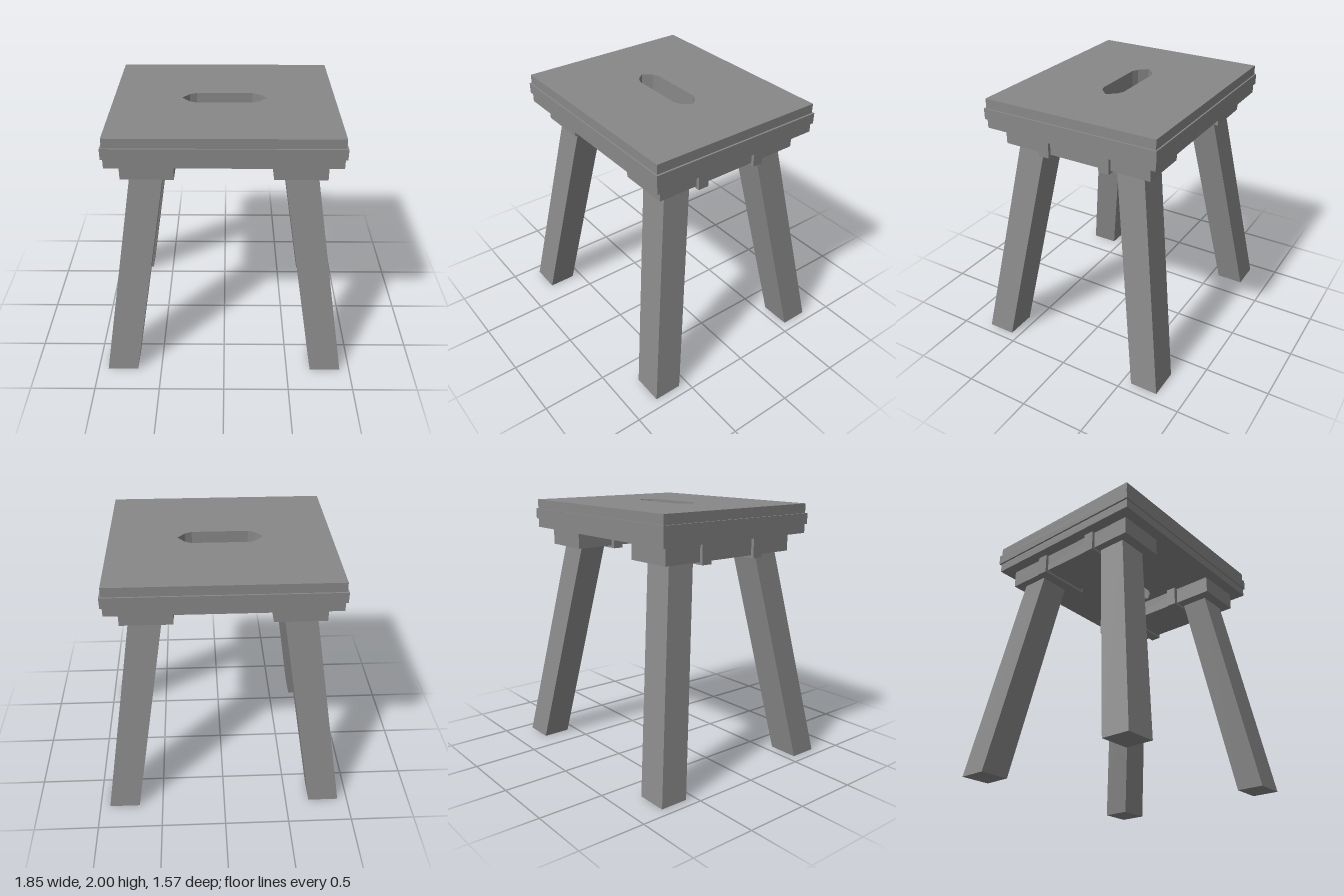
import * as THREE from 'three';

const material = new THREE.MeshStandardMaterial({ color: 0x888888 });

function addMesh(parent, name, geometry, x = 0, y = 0, z = 0) {
  const mesh = new THREE.Mesh(geometry, material);
  mesh.name = name;
  mesh.position.set(x, y, z);
  parent.add(mesh);
  return mesh;
}

// Rectangular board with the elongated hand hole cut through it
function boardGeometry(halfX, halfZ, thickness) {
  const shape = new THREE.Shape([
    [-halfX, -halfZ], [halfX, -halfZ], [halfX, halfZ], [-halfX, halfZ],
  ].map(([x, y]) => new THREE.Vector2(x, y)));
  shape.holes.push(new THREE.Path([
    [-0.315, 0], [-0.26, 0.065], [-0.21, 0.087], [0.21, 0.087], [0.26, 0.065],
    [0.315, 0], [0.26, -0.065], [0.21, -0.087], [-0.21, -0.087], [-0.26, -0.065],
  ].map(([x, y]) => new THREE.Vector2(x, y))));
  const geometry = new THREE.ExtrudeGeometry(shape, { depth: thickness, bevelEnabled: false });
  return geometry.rotateX(-Math.PI / 2);
}

// Square post sheared so that it splays outwards towards the floor, ends level
function legGeometry(sx, sz) {
  const height = 1.64;
  const geometry = new THREE.BoxGeometry(0.238, height, 0.216);
  geometry.translate(0, height / 2, 0);
  const p = geometry.attributes.position;
  for (let i = 0; i < p.count; i++) {
    const t = p.getY(i) / height;
    p.setX(i, p.getX(i) + sx * THREE.MathUtils.lerp(0.806, 0.552, t));
    p.setZ(i, p.getZ(i) + sz * THREE.MathUtils.lerp(0.678, 0.414, t));
  }
  geometry.computeVertexNormals();
  return geometry;
}

export function createModel() {
  const stool = new THREE.Group();
  stool.name = 'stool';

  // Seat: three stacked layers, the middle one slightly wider
  const seat = new THREE.Group();
  seat.name = 'seat';
  stool.add(seat);
  addMesh(seat, 'seatLowerBoard', boardGeometry(0.82, 0.686, 0.07), 0, 1.777, 0);
  addMesh(seat, 'seatBand', boardGeometry(0.834, 0.697, 0.081), 0, 1.847, 0);
  addMesh(seat, 'seatTopBoard', boardGeometry(0.82, 0.686, 0.072), 0, 1.928, 0);

  for (const sx of [1, -1]) {
    const side = sx > 0 ? 'left' : 'right';

    // Rail under the seat, joining the front and back legs
    addMesh(stool, side + 'Rail', new THREE.BoxGeometry(0.38, 0.137, 1.2), sx * 0.54, 1.7085, 0);

    for (const sz of [1, -1]) {
      const end = sz > 0 ? 'Front' : 'Back';
      // Cleat wrapped around the rail
      addMesh(stool, side + end + 'Cleat', new THREE.BoxGeometry(0.44, 0.157, 0.083), sx * 0.535, 1.6985, sz * 0.25);
      addMesh(stool, side + end + 'Leg', legGeometry(sx, sz));
    }
  }
  return stool;
}
